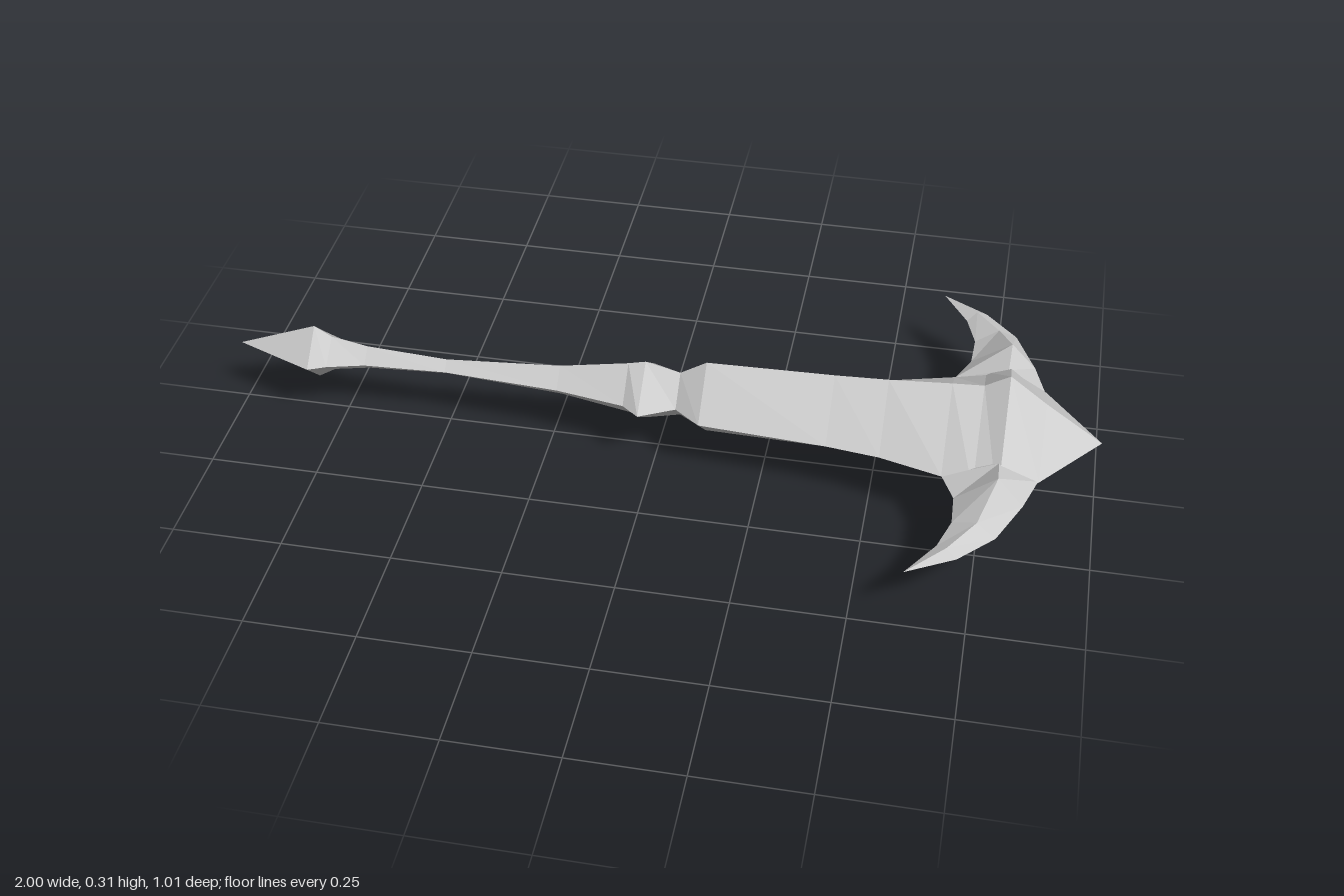
import * as THREE from 'three';

const MID = 0.158; // height of the long axis

// Skins a row of diamond sections: [sideA x, sideA z, ridge x, ridge z, ridge half height, sideB x, sideB z]
function diamondLoft(name, sections, material) {
  const rings = sections.map(([ax, az, rx, rz, h, bx, bz]) => [
    new THREE.Vector3(ax, 0, az), new THREE.Vector3(rx, h, rz),
    new THREE.Vector3(bx, 0, bz), new THREE.Vector3(rx, -h, rz),
  ]);
  const points = [];
  const face = (a, b, c) => {
    if (a.distanceTo(b) > 1e-6 && b.distanceTo(c) > 1e-6 && c.distanceTo(a) > 1e-6) points.push(a, b, c);
  };
  for (let r = 0; r < rings.length - 1; r++) {
    for (let i = 0; i < 4; i++) {
      const j = (i + 1) % 4;
      face(rings[r][i], rings[r][j], rings[r + 1][j]);
      face(rings[r][i], rings[r + 1][j], rings[r + 1][i]);
    }
  }
  const geometry = new THREE.BufferGeometry().setFromPoints(points);
  geometry.computeVertexNormals();
  const mesh = new THREE.Mesh(geometry, material);
  mesh.name = name;
  mesh.position.y = MID;
  return mesh;
}

export function createModel() {
  const group = new THREE.Group();
  group.name = 'hornedMace';
  const steel = new THREE.MeshStandardMaterial({ color: 0xcccccc, flatShading: true });
  steel.name = 'steel';

  // Straight parts along x: [x, half height, half width]
  const parts = {
    pommel: [[-1, 0, 0], [-0.815, 0.072, 0.075], [-0.775, 0.047, 0.057], [-0.69, 0.031, 0.034]],
    handle: [[-0.69, 0.031, 0.034], [-0.5, 0.02, 0.024], [-0.23, 0.04, 0.042], [-0.07, 0.07, 0.07]],
    collar: [[-0.07, 0.07, 0.07], [-0.03, 0.08, 0.102], [0.05, 0.06, 0.06]],
    head: [[0.05, 0.06, 0.06], [0.11, 0.097, 0.107], [0.4, 0.103, 0.127], [0.52, 0.108, 0.143],
      [0.66, 0.118, 0.182], [0.73, 0.122, 0.215], [0.785, 0.155, 0.25], [0.87, 0.09, 0.162], [1, 0, 0]],
  };
  for (const [name, rows] of Object.entries(parts)) {
    group.add(diamondLoft(name, rows.map(([x, h, w]) => [x, -w, x, 0, h, x, w]), steel));
  }

  // Swept-back side horns: leading edge, ridge, trailing edge
  const horn = [
    [0.885, 0.1, 0.78, 0.1, 0.022, 0.66, 0.1],
    [0.868, 0.16, 0.78, 0.17, 0.046, 0.66, 0.18],
    [0.84, 0.25, 0.782, 0.245, 0.065, 0.692, 0.25],
    [0.79, 0.365, 0.748, 0.35, 0.025, 0.695, 0.33],
    [0.715, 0.445, 0.692, 0.43, 0.015, 0.67, 0.41],
    [0.61, 0.505, 0.61, 0.505, 0, 0.61, 0.505],
  ];
  group.add(diamondLoft('frontHorn', horn, steel));
  group.add(diamondLoft('backHorn',
    horn.map(([ax, az, rx, rz, h, bx, bz]) => [bx, -bz, rx, -rz, h, ax, -az]), steel));
  return group;
}
